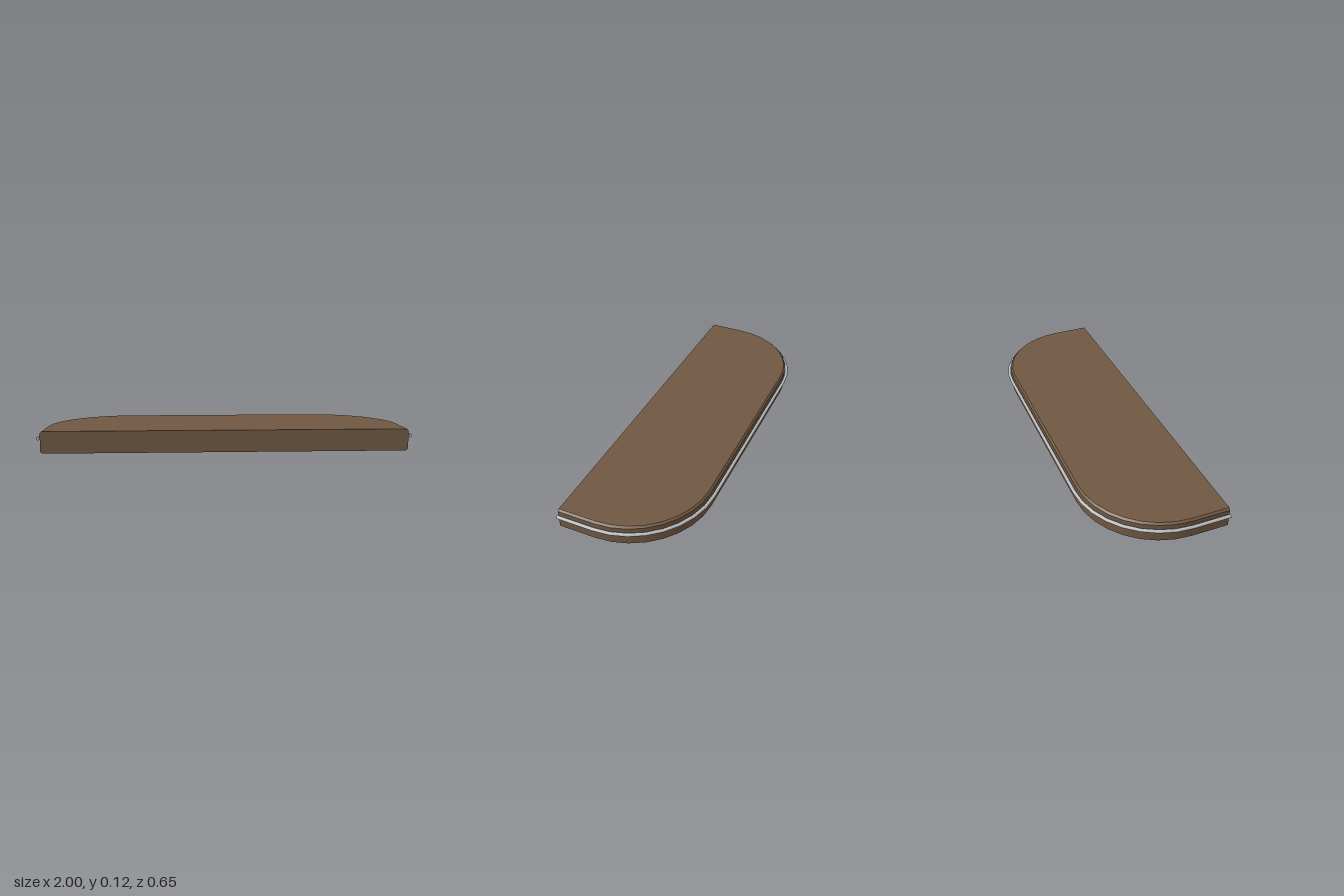
import * as THREE from 'three';

const HALF = 0.98, FRONT = 0.325, HEIGHT = 0.118, RADIUS = 0.43, BEVEL = 0.01;
const CX = HALF - RADIUS, CZ = 0.125, STEPS = 8;

// Plan path from the front left end, round the back, to the front right end
function planPath() {
  const half = [{ x: HALF, z: FRONT, nx: 1, nz: 0 }];
  for (let i = 0; i <= STEPS; i++) {
    const a = (i / STEPS) * Math.PI / 2, c = Math.cos(a), s = Math.sin(a);
    half.push({ x: CX + RADIUS * c, z: CZ - RADIUS * s, nx: c, nz: -s });
  }
  const mirrored = half.map(p => ({ ...p, x: -p.x, nx: -p.nx })).reverse();
  return [...half, ...mirrored];
}
const path = planPath();

// Sweep one profile edge along the path; a and b are [offset, y, normalOut, normalUp]
function sweep(edges) {
  const pos = [], nor = [], idx = [];
  for (const [a, b] of edges) {
    const base = pos.length / 3;
    for (const p of path) {
      for (const [off, y, no, ny] of [a, b]) {
        pos.push(p.x + p.nx * off, y, p.z + p.nz * off);
        nor.push(p.nx * no, ny, p.nz * no);
      }
    }
    for (let i = 0; i < path.length - 1; i++) {
      const k = base + i * 2;
      idx.push(k, k + 2, k + 3, k, k + 3, k + 1);
    }
  }
  const g = new THREE.BufferGeometry();
  g.setAttribute('position', new THREE.Float32BufferAttribute(pos, 3));
  g.setAttribute('normal', new THREE.Float32BufferAttribute(nor, 3));
  g.setIndex(idx);
  return g;
}

// Flat top (sign 1) or underside (sign -1)
function cap(sign) {
  const pts = path.map(p => new THREE.Vector2(p.x - p.nx * BEVEL, -sign * (p.z - p.nz * BEVEL)));
  const g = new THREE.ShapeGeometry(new THREE.Shape(pts));
  g.rotateX(-sign * Math.PI / 2);
  return g.translate(0, sign > 0 ? HEIGHT : 0, 0);
}

export function createModel() {
  const wood = new THREE.MeshStandardMaterial({ color: 0x705842 });
  wood.name = 'brown wood';
  const metal = new THREE.MeshStandardMaterial({ color: 0xb8bcc0 });
  metal.name = 'grey metal';

  const model = new THREE.Group();
  model.name = 'shelf';
  const add = (name, geometry, material) => {
    const m = new THREE.Mesh(geometry, material);
    m.name = name;
    model.add(m);
    return m;
  };

  // Board: bevelled rim, top, underside and straight front
  const d = Math.SQRT1_2;
  add('boardRim', sweep([
    [[-BEVEL, 0, d, -d], [0, BEVEL, d, -d]],
    [[0, BEVEL, 1, 0], [0, HEIGHT - BEVEL, 1, 0]],
    [[0, HEIGHT - BEVEL, d, d], [-BEVEL, HEIGHT, d, d]],
  ]), wood);
  add('boardTop', cap(1), wood);
  add('boardUnderside', cap(-1), wood);

  const right = [[HALF - BEVEL, 0], [HALF, BEVEL], [HALF, HEIGHT - BEVEL], [HALF - BEVEL, HEIGHT]];
  const outline = [...right, ...right.map(([x, y]) => [-x, y]).reverse()];
  const front = new THREE.ShapeGeometry(new THREE.Shape(outline.map(([x, y]) => new THREE.Vector2(x, y))));
  add('boardFront', front.translate(0, 0, FRONT), wood);

  // Round trim rail along the curved edge
  const railR = 0.009, railOff = 0.011, railY = 0.08, sides = 10;
  const ring = i => {
    const a = (i / sides) * Math.PI * 2, c = Math.cos(a), s = Math.sin(a);
    return [railOff + railR * c, railY + railR * s, c, s];
  };
  add('trimRail', sweep(Array.from({ length: sides }, (_, i) => [ring(i), ring(i + 1)])), metal);
  for (const side of [-1, 1]) {
    const end = add(side > 0 ? 'railEndLeft' : 'railEndRight', new THREE.CircleGeometry(railR, sides), metal);
    end.position.set(side * (HALF + railOff), railY, FRONT);
  }
  return model;
}
